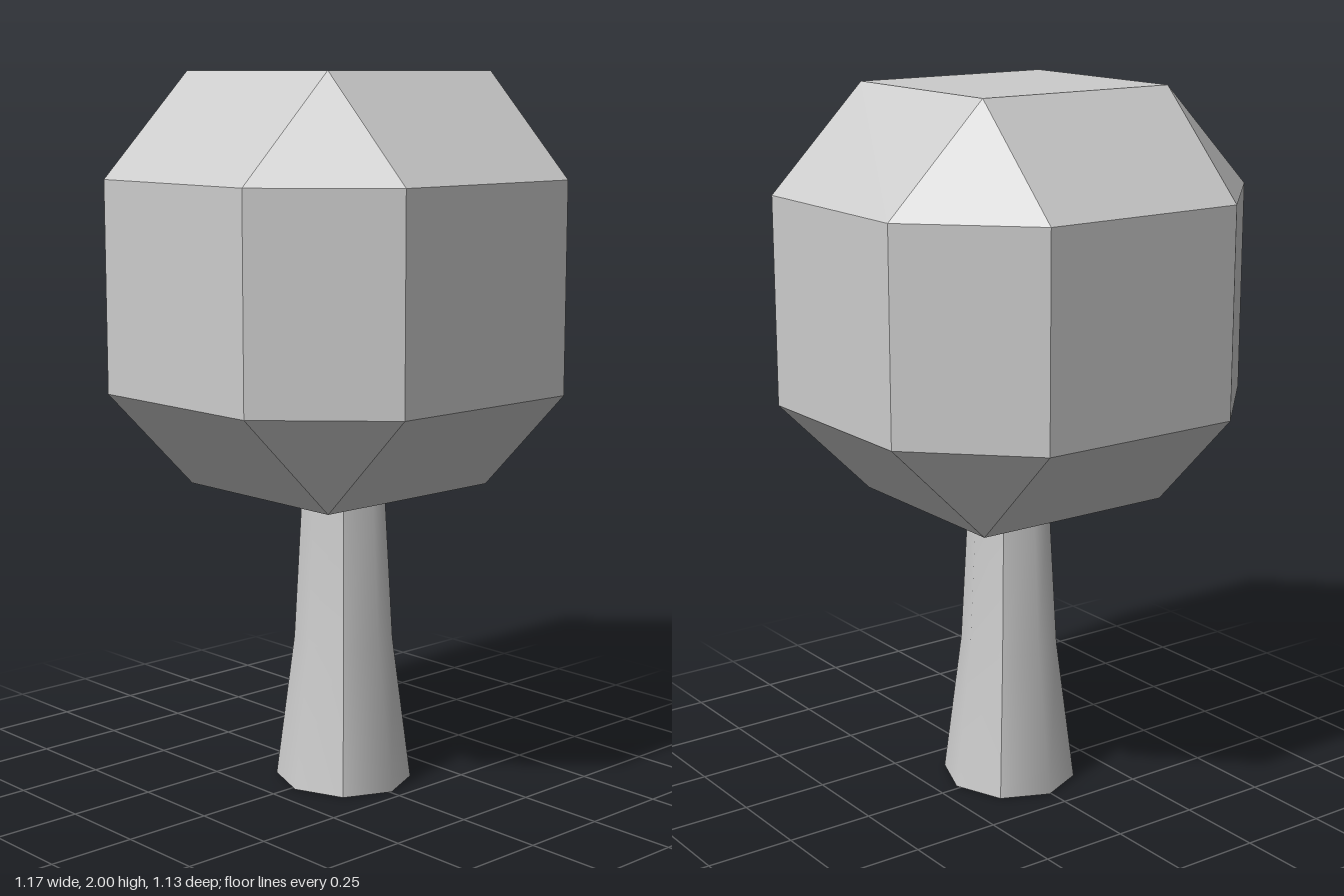
import * as THREE from 'three';
import { ConvexGeometry } from 'three/addons/geometries/ConvexGeometry.js';

const material = new THREE.MeshStandardMaterial({ color: 0xcccccc });

// Faceted crown: three stretched rectangles of corners per axis pair, wrapped in a hull
function createCrown() {
  const outer = [0.585, 0.572, 0.567];
  const inner = [0.3, 0.288, 0.284];
  const points = [];
  for (let axis = 0; axis < 3; axis++)
    for (const sx of [-1, 1]) for (const sy of [-1, 1]) for (const sz of [-1, 1]) {
      const p = [sx, sy, sz].map((s, i) => s * (i === axis ? outer[i] : inner[i]));
      points.push(new THREE.Vector3(...p));
    }
  const crown = new THREE.Mesh(new ConvexGeometry(points), material);
  crown.name = 'crown';
  crown.position.y = 1.428;
  return crown;
}

// Flared eight-sided trunk: four sides, each smooth across its middle, creased at the corners
function createTrunk() {
  const rings = [[0, 0.186, 0.2], [0.41, 0.135, 0.145], [0.87, 0.11, 0.119]]; // y, x radius, z radius
  const positions = [], indices = [];
  for (let side = 0; side < 4; side++) {
    const base = positions.length / 3;
    for (const [y, rx, rz] of rings)
      for (let c = -1; c <= 1; c++) {
        const a = side * Math.PI / 2 + c * Math.PI / 4;
        positions.push(rx * Math.sin(a), y, rz * Math.cos(a));
      }
    for (let r = 0; r < rings.length - 1; r++)
      for (let c = 0; c < 2; c++) {
        const i = base + r * 3 + c;
        indices.push(i, i + 1, i + 4, i, i + 4, i + 3);
      }
  }
  const geometry = new THREE.BufferGeometry();
  geometry.setAttribute('position', new THREE.Float32BufferAttribute(positions, 3));
  geometry.setIndex(indices);
  geometry.computeVertexNormals();

  const trunk = new THREE.Group();
  trunk.name = 'trunk';
  const sides = new THREE.Mesh(geometry, material);
  sides.name = 'trunkSides';

  // Flat underside
  const cap = new THREE.CircleGeometry(1, 8).rotateX(Math.PI / 2).scale(rings[0][1], 1, rings[0][2]);
  const underside = new THREE.Mesh(cap, material);
  underside.name = 'trunkBase';

  trunk.add(sides, underside);
  trunk.position.set(0.005, 0, 0.014);
  return trunk;
}

export function createModel() {
  const tree = new THREE.Group();
  tree.name = 'tree';
  tree.add(createCrown(), createTrunk());
  return tree;
}
